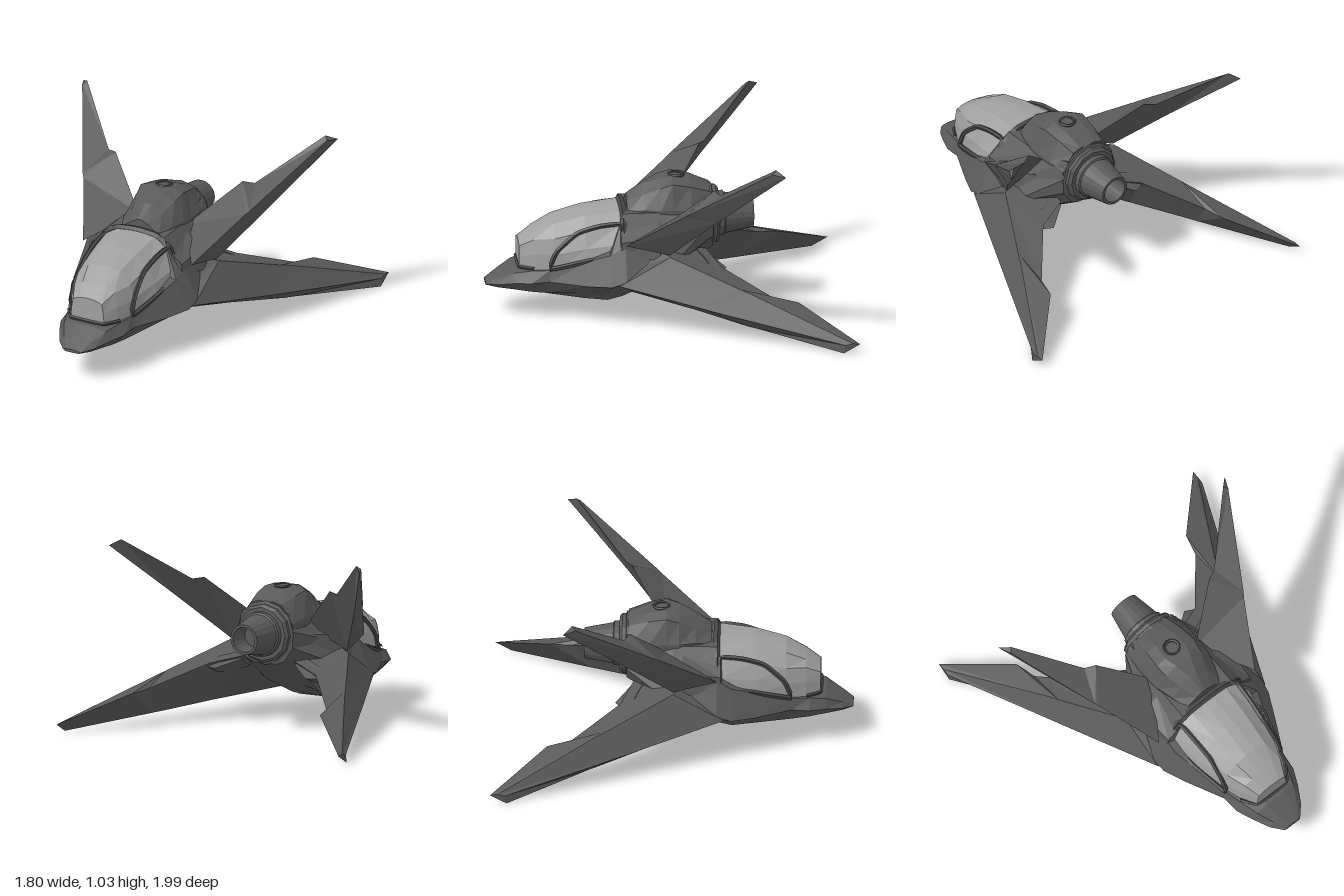
import * as THREE from 'three';

const hullMat = new THREE.MeshStandardMaterial({ color: 0x5a5a5a, flatShading: true, side: THREE.DoubleSide });
const frameMat = new THREE.MeshStandardMaterial({ color: 0x484848, flatShading: true });
const glassMat = new THREE.MeshStandardMaterial({ color: 0xa0a0a0, flatShading: true, side: THREE.DoubleSide });

// Skin a list of equal-length closed rings of [x, y, z], with end caps, facing outward
function loft(rings) {
  const tris = [];
  const n = rings[0].length;
  for (let i = 0; i < rings.length - 1; i++) {
    for (let j = 0; j < n; j++) {
      const k = (j + 1) % n;
      const a = rings[i][j], b = rings[i][k], c = rings[i + 1][k], d = rings[i + 1][j];
      tris.push([a, d, c], [a, c, b]);
    }
  }
  const last = rings[rings.length - 1];
  for (let j = 1; j < n - 1; j++) {
    tris.push([rings[0][0], rings[0][j], rings[0][j + 1]], [last[0], last[j + 1], last[j]]);
  }
  let volume = 0;
  for (const [a, b, c] of tris) {
    volume += a[0] * (b[1] * c[2] - b[2] * c[1]) + a[1] * (b[2] * c[0] - b[0] * c[2]) + a[2] * (b[0] * c[1] - b[1] * c[0]);
  }
  if (volume < 0) tris.forEach((t) => t.reverse());
  const geo = new THREE.BufferGeometry();
  geo.setAttribute('position', new THREE.Float32BufferAttribute(tris.flat(2), 3));
  geo.computeVertexNormals();
  return geo;
}

// Cross-section at z from its +x half, listed bottom to top
function section(z, half) {
  const right = half.map(([x, y]) => [x, y, z]);
  const left = half.map(([x, y]) => [-x, y, z]).reverse();
  return [...right, ...left];
}

const flipX = (rings, s) => rings.map((r) => r.map(([x, y, z]) => [x * s, y, z]));

export function createModel() {
  const model = new THREE.Group();
  const add = (name, geo, mat = hullMat, parent = model) => {
    const mesh = new THREE.Mesh(geo, mat);
    mesh.name = name;
    parent.add(mesh);
    return mesh;
  };

  // Fuselage: belly, lower side, chine, shoulder, top
  add('fuselage', loft([
    section(0.99, [[0.03, 0.168], [0.045, 0.17], [0.055, 0.178], [0.04, 0.184], [0.02, 0.186]]),
    section(0.93, [[0.05, 0.155], [0.08, 0.165], [0.11, 0.19], [0.08, 0.215], [0.04, 0.222]]),
    section(0.84, [[0.06, 0.145], [0.11, 0.16], [0.16, 0.21], [0.13, 0.26], [0.06, 0.275]]),
    section(0.75, [[0.07, 0.135], [0.13, 0.15], [0.2, 0.22], [0.16, 0.28], [0.07, 0.295]]),
    section(0.65, [[0.08, 0.12], [0.15, 0.145], [0.21, 0.23], [0.19, 0.29], [0.08, 0.3]]),
    section(0.45, [[0.1, 0.092], [0.15, 0.14], [0.31, 0.23], [0.25, 0.355], [0.1, 0.37]]),
    section(0.32, [[0.11, 0.08], [0.15, 0.135], [0.37, 0.24], [0.29, 0.4], [0.12, 0.45]]),
    section(0.24, [[0.11, 0.1], [0.15, 0.14], [0.38, 0.27], [0.29, 0.45], [0.17, 0.6]]),
    section(0.0, [[0.11, 0.2], [0.15, 0.22], [0.35, 0.33], [0.27, 0.47], [0.17, 0.6]]),
    section(-0.26, [[0.07, 0.36], [0.12, 0.38], [0.175, 0.46], [0.175, 0.55], [0.14, 0.65]]),
  ]));

  // Raised keel panel under the belly
  add('keelPanel', loft([
    section(0.7, [[0.03, 0.125], [0.05, 0.14]]),
    section(0.5, [[0.07, 0.092], [0.09, 0.13]]),
    section(0.34, [[0.09, 0.078], [0.12, 0.12]]),
    section(0.24, [[0.08, 0.095], [0.11, 0.14]]),
  ]));

  // Glass canopy
  const canopy = [
    [0.81, [[0.105, 0.28], [0.1, 0.35], [0.09, 0.405], [0.05, 0.42], [0.015, 0.424]]],
    [0.73, [[0.15, 0.28], [0.145, 0.37], [0.125, 0.45], [0.075, 0.475], [0.02, 0.48]]],
    [0.62, [[0.19, 0.28], [0.185, 0.38], [0.165, 0.465], [0.1, 0.53], [0.03, 0.545]]],
    [0.45, [[0.24, 0.34], [0.225, 0.42], [0.185, 0.51], [0.11, 0.575], [0.03, 0.59]]],
    [0.25, [[0.27, 0.39], [0.255, 0.45], [0.195, 0.55], [0.12, 0.597], [0.03, 0.607]]],
  ];
  add('canopyGlass', loft(canopy.map(([z, half]) => section(z, half))), glassMat);

  // Window frames and rear hoop
  const tube = (pts, r, closed) => new THREE.TubeGeometry(
    new THREE.CatmullRomCurve3(pts.map((p) => new THREE.Vector3(...p)), closed, 'catmullrom', 0.2), 36, r, 5, closed);
  const windowLoop = [[0.195, 0.3, 0.645], [0.19, 0.4, 0.61], [0.185, 0.5, 0.5], [0.193, 0.54, 0.38],
    [0.2, 0.55, 0.255], [0.258, 0.45, 0.255], [0.268, 0.39, 0.27], [0.247, 0.36, 0.43]];
  for (const s of [1, -1]) {
    add('sideWindowFrame', tube(windowLoop.map(([x, y, z]) => [x * s, y, z]), 0.014, true), frameMat);
  }
  add('canopyHoop', tube(section(0.235, canopy[4][1]), 0.02, false), frameMat);
  add('windscreenSill', tube([[-0.16, 0.292, 0.73], [-0.1, 0.29, 0.81], [0.1, 0.29, 0.81], [0.16, 0.292, 0.73]], 0.01, false), frameMat);

  // Engine cover with a pointed front
  add('engineCover', loft([
    section(0.21, [[0.13, 0.5], [0.12, 0.59], [0.05, 0.64], [0.01, 0.66]]),
    section(0.12, [[0.16, 0.48], [0.15, 0.61], [0.09, 0.68], [0.02, 0.72]]),
    section(0.03, [[0.18, 0.48], [0.175, 0.61], [0.12, 0.72], [0.05, 0.757]]),
    section(-0.04, [[0.185, 0.47], [0.18, 0.61], [0.13, 0.745], [0.07, 0.768]]),
    section(-0.14, [[0.185, 0.46], [0.18, 0.61], [0.12, 0.725], [0.06, 0.75]]),
    section(-0.25, [[0.17, 0.44], [0.17, 0.59], [0.1, 0.69], [0.05, 0.705]]),
  ]));
  const hatch = add('hatchRing', new THREE.TorusGeometry(0.04, 0.009, 5, 16), frameMat);
  hatch.rotation.x = Math.PI / 2;
  hatch.position.set(0, 0.765, -0.07);

  // Engine, turned about its own axis and pointing back
  const engine = new THREE.Group();
  engine.name = 'engine';
  engine.position.set(0, 0.53, 0);
  engine.rotation.x = -Math.PI / 2;
  model.add(engine);
  const lathe = (pts, sides) => new THREE.LatheGeometry(pts.map(([r, d]) => new THREE.Vector2(r, d)), sides);
  add('engineCollar', lathe([[0.15, 0.2], [0.18, 0.23], [0.18, 0.26], [0.165, 0.265], [0.165, 0.285], [0.15, 0.3], [0, 0.3]], 12), hullMat, engine);
  add('engineNozzle', lathe([[0.125, 0.28], [0.125, 0.33], [0.115, 0.335], [0.085, 0.495], [0.07, 0.495], [0.06, 0.38], [0, 0.38]], 20), hullMat, engine);

  // Lower wing sections: leading edge, ridge, trailing edge, underside edge
  const lowerWing = [
    [[0.2, 0.22, 0.45], [0.2, 0.46, 0.1], [0.16, 0.38, -0.22], [0.15, 0.14, 0.2]],
    [[0.38, 0.25, 0.28], [0.38, 0.41, 0], [0.34, 0.33, -0.29], [0.38, 0.1, -0.14]],
    [[0.57, 0.17, -0.16], [0.57, 0.28, -0.36], [0.57, 0.21, -0.57], [0.57, 0.06, -0.41]],
    [[0.6, 0.157, -0.23], [0.6, 0.26, -0.42], [0.6, 0.2, -0.69], [0.6, 0.055, -0.46]],
    [[0.9, 0.045, -0.92], [0.9, 0.055, -0.96], [0.9, 0.05, -1], [0.9, 0, -0.91]],
  ];
  // Upper wing sections: inner edge, front edge, outer edge
  const upperWing = [
    [[0.15, 0.56, -0.05], [0.34, 0.47, 0.24], [0.37, 0.42, 0]],
    [[0.4, 0.8, -0.24], [0.51, 0.69, -0.07], [0.55, 0.66, -0.24]],
    [[0.46, 0.79, -0.27], [0.525, 0.705, -0.09], [0.565, 0.68, -0.26]],
    [[0.75, 1.03, -0.55], [0.77, 1.01, -0.53], [0.8, 1.0, -0.6]],
  ];
  // Flap block at the lower wing root
  const rootFlap = [
    [[0.17, 0.4, -0.15], [0.17, 0.36, -0.23], [0.16, 0.31, -0.15]],
    [[0.29, 0.37, -0.2], [0.29, 0.31, -0.32], [0.28, 0.27, -0.2]],
    [[0.35, 0.35, -0.22], [0.35, 0.31, -0.29], [0.34, 0.26, -0.2]],
  ];
  // Air intake beside the cockpit
  const intake = [
    [[0.24, 0.39, 0.28], [0.3, 0.39, 0.26], [0.29, 0.47, 0.26], [0.23, 0.52, 0.26]],
    [[0.24, 0.37, 0.05], [0.34, 0.38, 0.05], [0.31, 0.5, 0.05], [0.2, 0.56, 0.05]],
    [[0.1, 0.4, -0.15], [0.22, 0.42, -0.15], [0.2, 0.52, -0.15], [0.1, 0.56, -0.15]],
  ];
  for (const [side, s] of [['left', 1], ['right', -1]]) {
    add(side + 'LowerWing', loft(flipX(lowerWing, s)));
    add(side + 'UpperWing', loft(flipX(upperWing, s)));
    add(side + 'RootFlap', loft(flipX(rootFlap, s)));
    add(side + 'Intake', loft(flipX(intake, s)));
  }
  return model;
}
